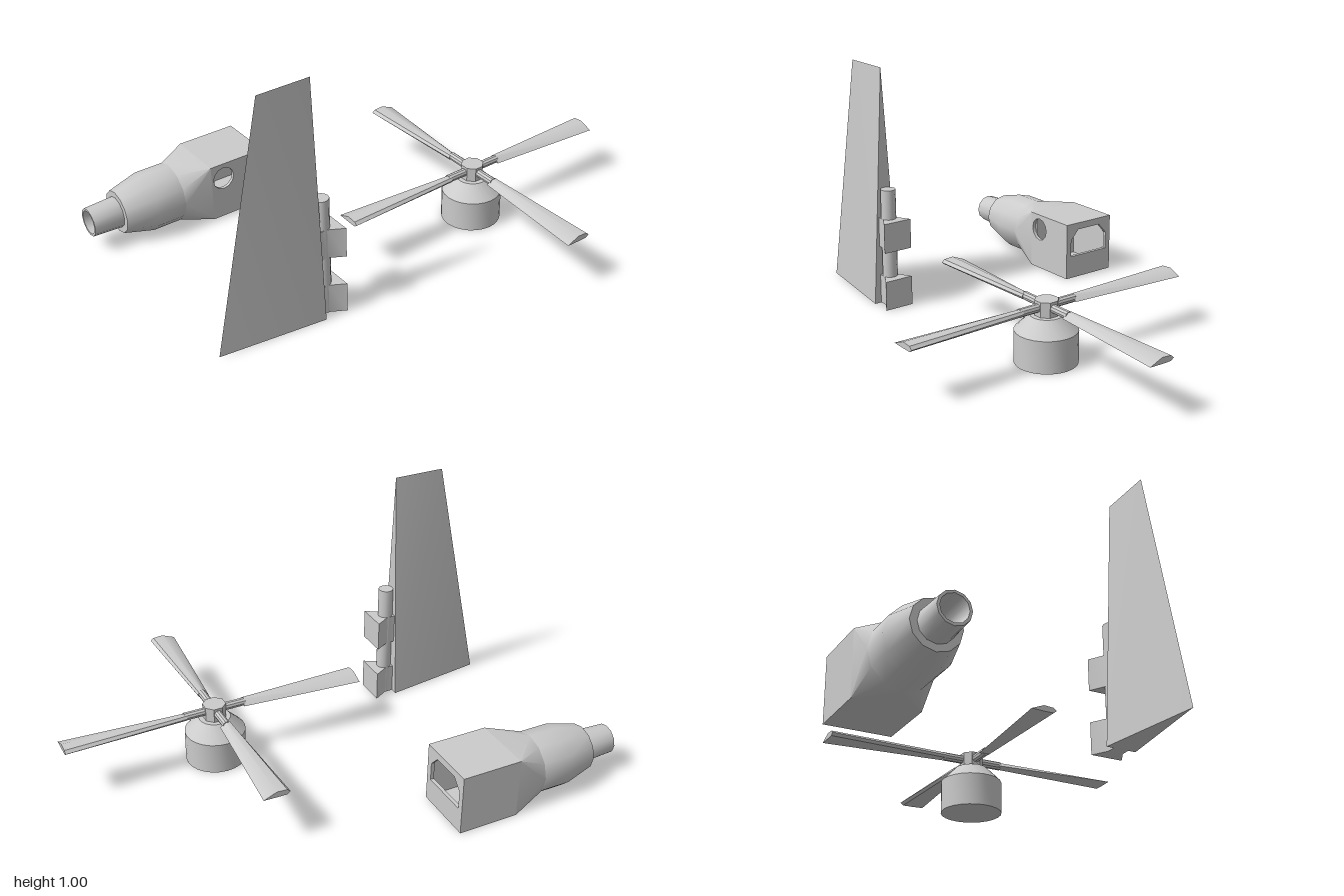
import * as THREE from 'three';
import { toCreasedNormals } from 'three/addons/utils/BufferGeometryUtils.js';

const material = new THREE.MeshStandardMaterial({ color: 0xcccccc, side: THREE.DoubleSide });

function part(parent, name, geometry, x = 0, y = 0, z = 0) {
  const mesh = new THREE.Mesh(toCreasedNormals(geometry, 0.6), material);
  mesh.name = name;
  mesh.position.set(x, y, z);
  parent.add(mesh);
  return mesh;
}

function group(parent, name, x, y, z) {
  const g = new THREE.Group();
  g.name = name;
  g.position.set(x, y, z);
  parent.add(g);
  return g;
}

// Geometry from a list of triangles, each made of three [x, y, z] points
function triangles(list) {
  const g = new THREE.BufferGeometry();
  g.setAttribute('position', new THREE.Float32BufferAttribute(list.flat(2), 3));
  g.computeVertexNormals();
  return g;
}

const shapeOf = (pts) => new THREE.Shape(pts.map(([x, y]) => new THREE.Vector2(x, y)));

// Flat plate with a hole in it
function plate(outline, hole, depth) {
  const shape = shapeOf(outline);
  shape.holes.push(shapeOf(hole));
  return new THREE.ExtrudeGeometry(shape, { depth, bevelEnabled: false });
}

const rect = (x0, x1, y0, y1) => [[x0, y0], [x1, y0], [x1, y1], [x0, y1]];

function addEngine(root) {
  const R = 0.125, T = 0.015;
  const e = group(root, 'engine', -0.625, R, 0);

  // Square intake housing with openings at the back and on its left side
  const intake = [[-0.1, -0.025], [0.1, -0.025], [0.1, 0.05], [0.06, 0.095], [-0.06, 0.095], [-0.1, 0.05]];
  part(e, 'backWall', plate(rect(-R, R, -R, R), intake, T), 0, 0, 0.25);
  const port = [];
  for (let i = 0; i < 12; i++) {
    const a = (i / 12) * Math.PI * 2;
    port.push([0.443 + 0.048 * Math.cos(a), 0.057 + 0.05 * Math.sin(a)]);
  }
  const side = plate(rect(0.25 + T, 0.5, -R, R), port, T);
  side.rotateY(-Math.PI / 2);
  part(e, 'leftWall', side, R, 0, 0);
  const len = 0.25 - T, mid = 0.375 + T / 2;
  part(e, 'rightWall', new THREE.BoxGeometry(T, 2 * R, len), -R + T / 2, 0, mid);
  for (const s of [-1, 1]) {
    part(e, s > 0 ? 'topWall' : 'bottomWall',
      new THREE.BoxGeometry(2 * R - 2 * T, T, len), 0, s * (R - T / 2), mid);
  }
  part(e, 'bulkhead', plate(rect(-0.11, 0.11, -0.11, 0.11), rect(-0.025, 0.025, -0.025, 0.025), 0.02), 0, 0, 0.48);

  // Square-to-round transition, one quarter at a time
  const tris = [];
  const ring = (k) => [R * Math.cos(k * Math.PI / 6), R * Math.sin(k * Math.PI / 6), 0.625];
  const corner = (q) => {
    const a = (q + 0.5) * Math.PI / 2, d = R * Math.SQRT2;
    return [d * Math.cos(a), d * Math.sin(a), 0.5];
  };
  for (let q = 0; q < 4; q++) {
    const c = corner(q);
    for (let k = 0; k < 3; k++) tris.push([c, ring(q * 3 + k + 1), ring(q * 3 + k)]);
    tris.push([c, corner(q + 1), ring(q * 3 + 3)]);
  }
  part(e, 'transition', triangles(tris));

  // Round casing and hollow exhaust nozzle
  const profile = [[0.125, 0.625], [0.125, 0.75], [0.092, 0.875], [0.066, 0.875],
    [0.06, 1], [0.05, 1], [0.045, 0.88], [0.045, 0.5]];
  const casing = new THREE.LatheGeometry(profile.map(([r, z]) => new THREE.Vector2(r, z)), 12);
  casing.rotateX(Math.PI / 2);
  part(e, 'casingAndNozzle', casing);
}

function addFin(root) {
  const f = group(root, 'fin', 0.267, 0, 0);
  const zb = 0.513;
  const F = [0, 0, 0.942], T = [0, 1, zb], U = [0, 1, 0.73];
  const L = [0.06, 0, zb], Rr = [-0.06, 0, zb];

  // Wedge blade tapering to a line at the top
  part(f, 'finBlade', triangles([
    [L, U, F], [L, T, U], [Rr, F, U], [Rr, U, T], [L, Rr, T], [Rr, L, F],
  ]));

  // Hinge pin and two flared brackets
  part(f, 'hingePin', new THREE.CylinderGeometry(0.031, 0.031, 0.5, 12), 0, 0.25, 0.483);
  const flare = [[-0.064, -0.418], [-0.03, -0.478], [-0.03, -0.513], [0.03, -0.513], [0.03, -0.478], [0.064, -0.418]];
  for (const y of [0, 0.25]) {
    const g = new THREE.ExtrudeGeometry(shapeOf(flare), { depth: 0.125, bevelEnabled: false });
    g.rotateX(-Math.PI / 2);
    part(f, 'hingeBracket', g, 0, y, 0);
  }
}

// Airfoil blade along +x, lofted from root to tip
function bladeGeometry() {
  const section = [[-0.5, 0], [-0.38, 0.011], [0, 0.014], [0.5, -0.008], [0, -0.01], [-0.38, -0.01]];
  const at = (x, chord, shift) => section.map(([c, y]) => [x, y, c * chord + shift]);
  const a = at(0.122, 0.046, 0.002), b = at(0.625, 0.108, 0.012);
  const tris = [];
  const n = section.length;
  for (let i = 0; i < n; i++) {
    const j = (i + 1) % n;
    tris.push([a[i], a[j], b[j]], [a[i], b[j], b[i]]);
    if (i > 0 && i < n - 1) tris.push([a[0], a[j], a[i]], [b[0], b[i], b[j]]);
  }
  return triangles(tris);
}

function addRotor(root) {
  const r = group(root, 'rotor', 0.123, 0, -0.375);
  const base = [[0, 0], [0.123, 0], [0.123, 0.13], [0.064, 0.19], [0, 0.19]];
  part(r, 'rotorBase', new THREE.LatheGeometry(base.map(([x, y]) => new THREE.Vector2(x, y)), 24));
  const hub = new THREE.CylinderGeometry(0.047, 0.047, 0.06, 8);
  hub.rotateY(Math.PI / 8);
  part(r, 'hub', hub, 0, 0.22, 0);

  // Four spindles carrying the blades
  for (let i = 0; i < 4; i++) {
    const arm = group(r, 'bladeArm', 0, 0.224, 0);
    arm.rotation.y = i * Math.PI / 2;
    const spindle = new THREE.CylinderGeometry(0.017, 0.017, 0.1, 10);
    spindle.rotateZ(Math.PI / 2);
    part(arm, 'spindle', spindle, 0.08, 0, 0);
    part(arm, 'blade', bladeGeometry());
  }
}

export function createModel() {
  const root = new THREE.Group();
  root.name = 'aircraftParts';
  addEngine(root);
  addFin(root);
  addRotor(root);
  return root;
}
